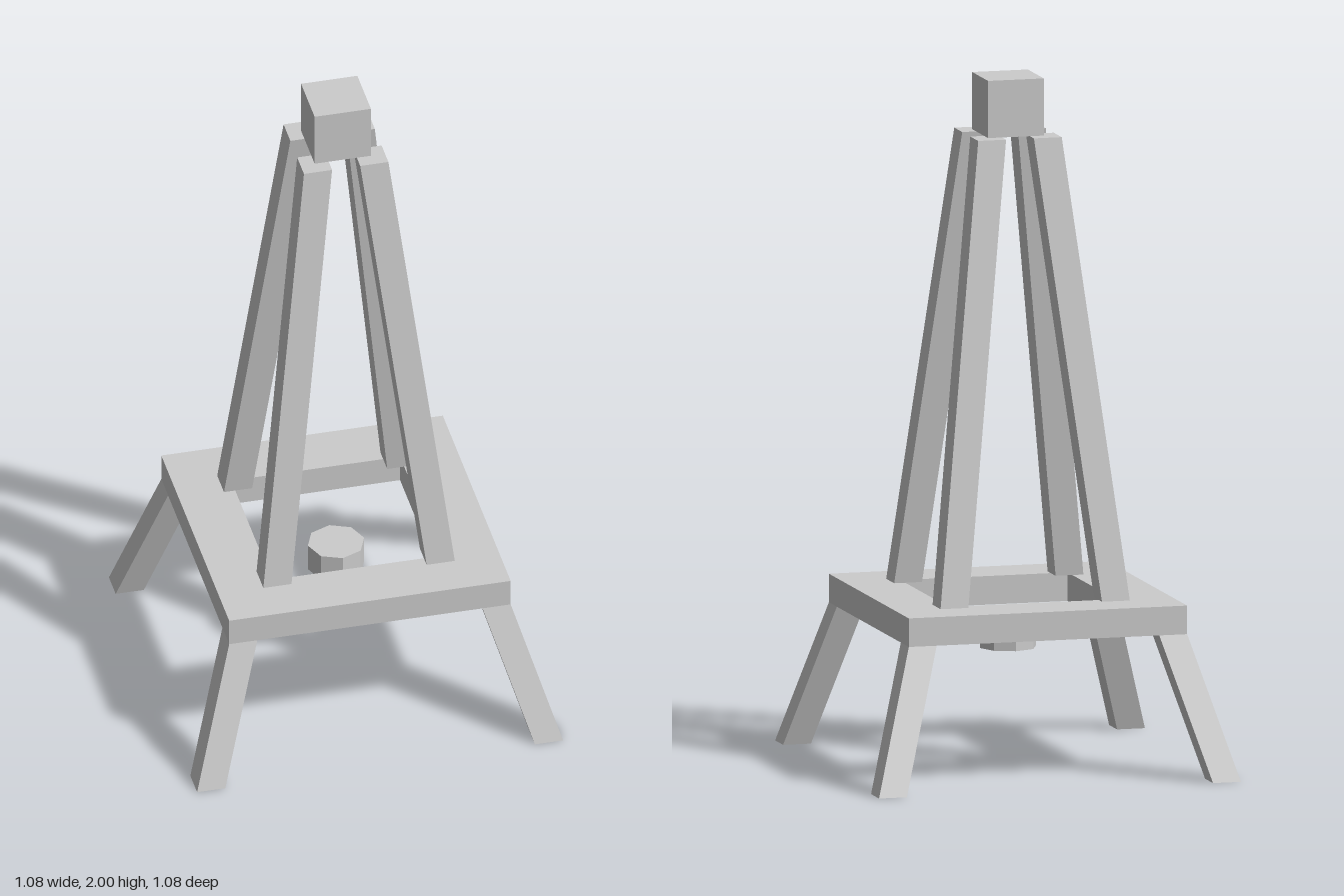
import * as THREE from 'three';

const U = 1 / 12; // beam thickness, the module of the whole tower
const material = new THREE.MeshStandardMaterial({ color: 0xcccccc, flatShading: true });

function addPart(parent, name, geometry, y = 0) {
  const mesh = new THREE.Mesh(geometry, material);
  mesh.name = name;
  mesh.position.y = y;
  parent.add(mesh);
  return mesh;
}

// Square beam sheared along its diagonal, with level ends
function slantedBeam(y0, offset0, y1, offset1, sx, sz) {
  const h = y1 - y0;
  const geometry = new THREE.BoxGeometry(U, h, U);
  const p = geometry.attributes.position;
  for (let i = 0; i < p.count; i++) {
    const t = p.getY(i) / h + 0.5;
    const offset = THREE.MathUtils.lerp(offset0, offset1, t);
    p.setXYZ(i, p.getX(i) + sx * offset, y0 + t * h, p.getZ(i) + sz * offset);
  }
  geometry.computeVertexNormals();
  return geometry;
}

function squarePath(path, r) {
  path.moveTo(-r, -r);
  path.lineTo(r, -r);
  path.lineTo(r, r);
  path.lineTo(-r, r);
  path.closePath();
  return path;
}

export function createModel() {
  const model = new THREE.Group();
  model.name = 'tower';

  // Square platform with an open centre
  const outline = squarePath(new THREE.Shape(), 5 * U);
  outline.holes.push(squarePath(new THREE.Path(), 3 * U));
  const frame = new THREE.ExtrudeGeometry(outline, { depth: U, bevelEnabled: false });
  frame.rotateX(-Math.PI / 2);
  addPart(model, 'platformFrame', frame, 5 * U);

  // Splayed feet below and converging posts above, one pair per corner
  for (const [xName, sx] of [['Left', 1], ['Right', -1]]) {
    for (const [zName, sz] of [['front', 1], ['back', -1]]) {
      addPart(model, `${zName}${xName}Leg`, slantedBeam(0, 6 * U, 5 * U, 4.5 * U, sx, sz));
      addPart(model, `${zName}${xName}Post`, slantedBeam(6 * U, 2.9 * U, 22 * U, U, sx, sz));
    }
  }

  // Cap block at the summit
  addPart(model, 'capBlock', new THREE.BoxGeometry(2 * U, 2 * U, 2 * U), 23 * U);

  // Small drum hanging at the centre
  addPart(model, 'drum', new THREE.CylinderGeometry(U, U, U, 8), 4.5 * U);

  return model;
}
